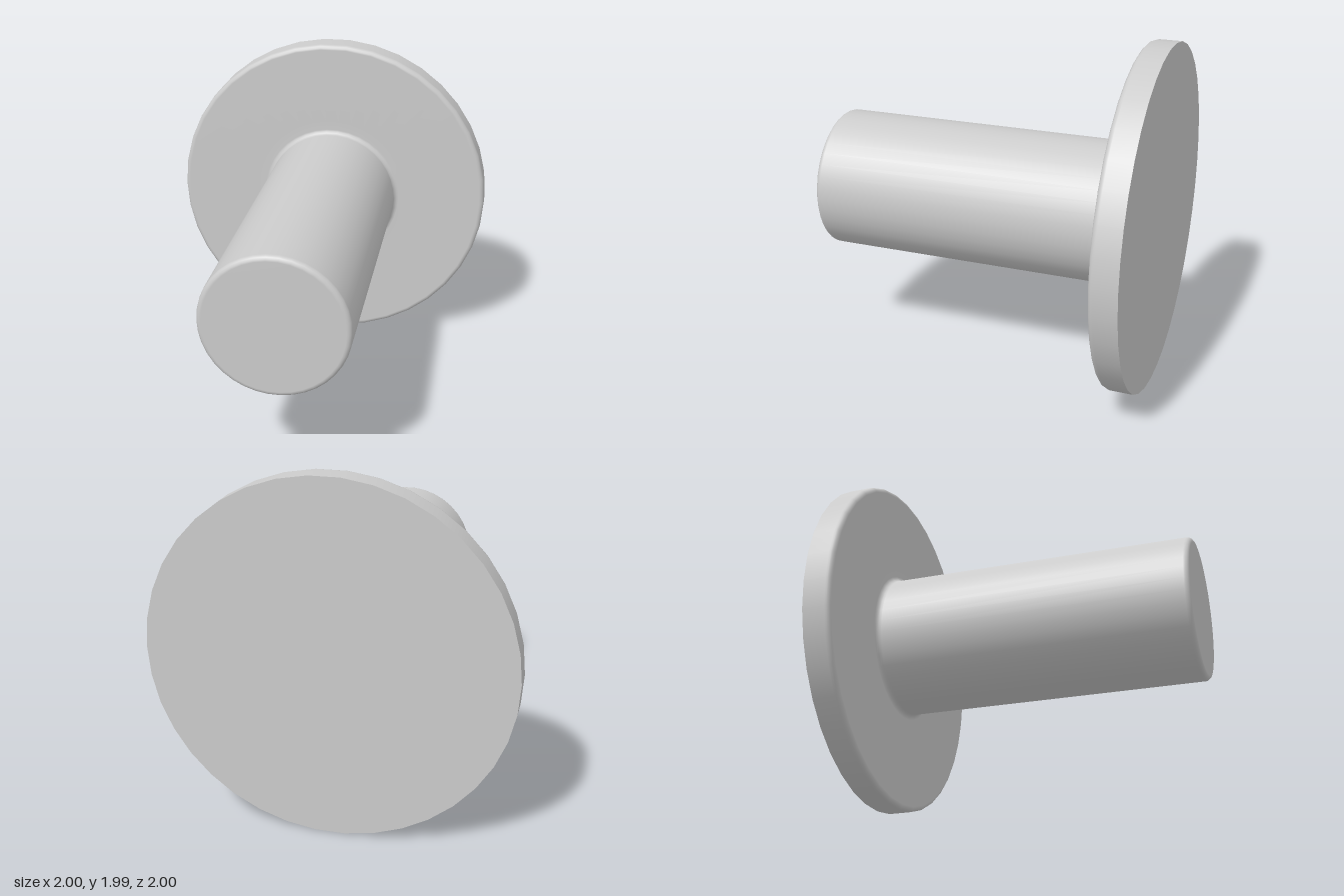
import * as THREE from 'three';

const SIDES = 38, FILLET = 0.03;
const BACK = -1, FACE = -0.84, TIP = 1; // positions along z
const FLANGE_R = 1, STEM_R = 0.415, SEAM_R = 0.5;

const p = (r, z) => new THREE.Vector2(r, z);

// quarter-round profile points about (r, z), from angle a to angle b in degrees
function arc(r, z, a, b, steps = 4) {
  return Array.from({ length: steps + 1 }, (_, i) => {
    const t = THREE.MathUtils.degToRad(a + (b - a) * i / steps);
    return p(r + FILLET * Math.cos(t), z + FILLET * Math.sin(t));
  });
}

// revolve a profile of (radius, z) points around the z axis
function turned(name, points, material) {
  const geometry = new THREE.LatheGeometry(points, SIDES, Math.PI / 2);
  geometry.rotateX(Math.PI / 2);
  geometry.normalizeNormals();
  const mesh = new THREE.Mesh(geometry, material);
  mesh.name = name;
  mesh.position.y = 1;
  return mesh;
}

export function createModel() {
  const model = new THREE.Group();
  model.name = 'flangedPin';
  const grey = new THREE.MeshStandardMaterial({ color: 0xcccccc });

  // round flange: sharp back edge (doubled point), rounded front edge
  model.add(turned('flange', [
    p(0, BACK), p(FLANGE_R, BACK), p(FLANGE_R, BACK),
    ...arc(FLANGE_R - FILLET, FACE - FILLET, 0, 90),
    p(SEAM_R, FACE),
  ], grey));

  // stem: concave fillet at the flange, rounded edge at the tip
  model.add(turned('stem', [
    p(SEAM_R, FACE),
    ...arc(STEM_R + FILLET, FACE + FILLET, 270, 180),
    ...arc(STEM_R - FILLET, TIP - FILLET, 0, 90),
    p(0, TIP),
  ], grey));

  return model;
}
